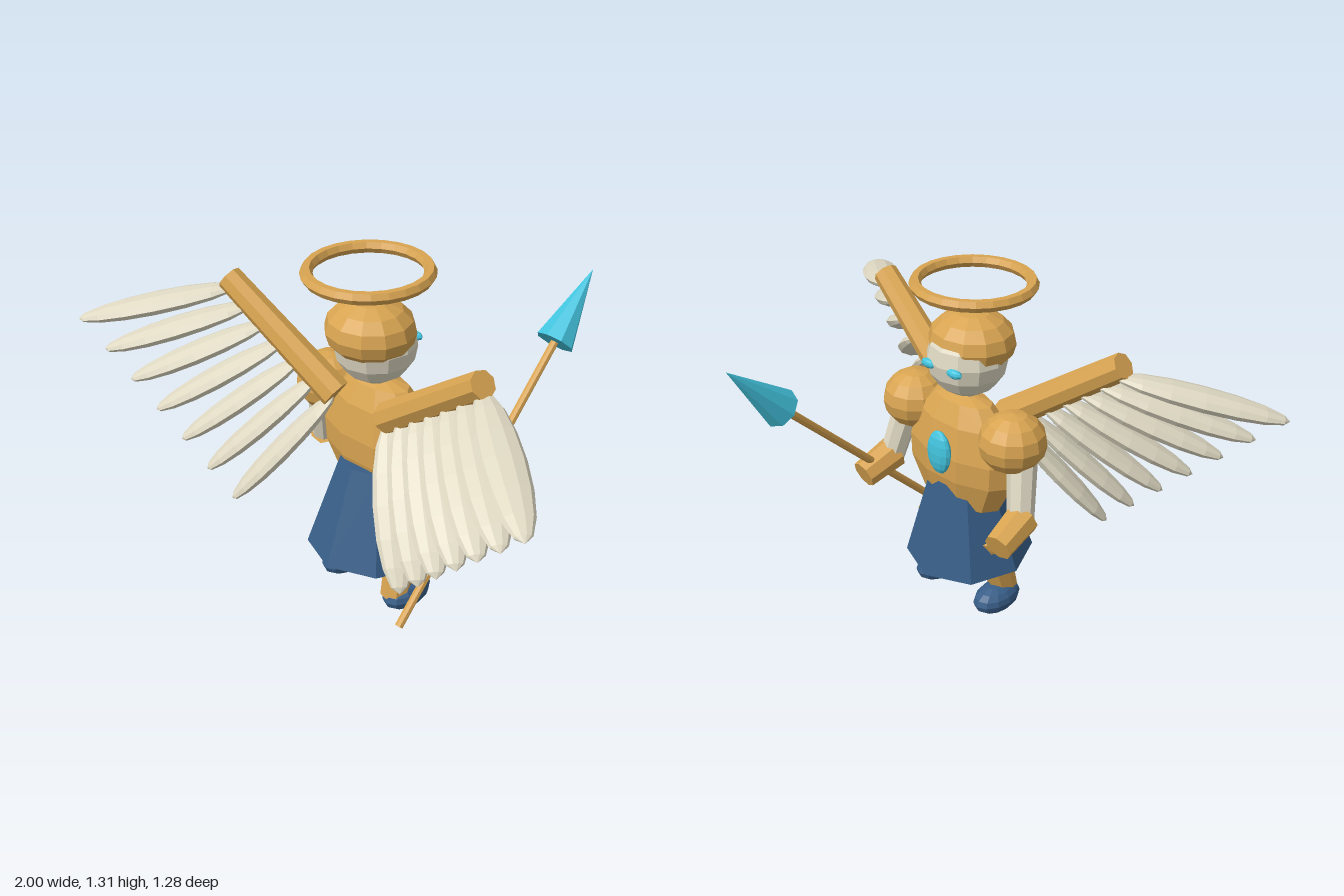
import * as THREE from 'three';

const V = (x, y, z) => new THREE.Vector3(x, y, z);

export function createModel() {
  const group = new THREE.Group();
  const mat = (name, color) => {
    const m = new THREE.MeshStandardMaterial({ color, flatShading: true });
    m.name = name;
    return m;
  };
  const gold = mat('gold', 0xd8a451);
  const cream = mat('cream', 0xdfd9c3);
  const navy = mat('navy', 0x385e88);
  const cyan = mat('cyan', 0x43c4de);

  const add = (name, geo, material) => {
    const mesh = new THREE.Mesh(geo, material);
    mesh.name = name;
    group.add(mesh);
    return mesh;
  };

  // Faceted ellipsoid
  const ball = (name, material, pos, radii, ws = 12, hs = 8) => {
    const mesh = add(name, new THREE.SphereGeometry(1, ws, hs), material);
    mesh.position.copy(pos);
    mesh.scale.copy(radii);
    return mesh;
  };

  // Tapered rod from point a (radius ra) to point b (radius rb)
  const rod = (name, material, a, b, ra, rb, sides = 8) => {
    const dir = b.clone().sub(a);
    const mesh = add(name, new THREE.CylinderGeometry(rb, ra, dir.length(), sides), material);
    mesh.position.copy(a).add(b).multiplyScalar(0.5);
    mesh.quaternion.setFromUnitVectors(V(0, 1, 0), dir.normalize());
    return mesh;
  };

  // Head, helmet and halo (the figure looks towards -z)
  ball('head', cream, V(0, 1.03, 0.146), V(0.147, 0.145, 0.145));
  ball('helmet', gold, V(0, 1.085, 0.169), V(0.162, 0.111, 0.152));
  const halo = add('halo', new THREE.TorusGeometry(0.202, 0.022, 6, 24), gold);
  halo.rotation.x = Math.PI / 2;
  halo.position.set(0, 1.294, 0.174);

  // Torso, flattened front to back
  const profile = [[0, 0.42], [0.1, 0.43], [0.18, 0.47], [0.24, 0.59], [0.245, 0.68],
    [0.2, 0.8], [0.13, 0.875], [0, 0.9]].map(([r, y]) => new THREE.Vector2(r, y));
  const torsoGeo = new THREE.LatheGeometry(profile, 10);
  torsoGeo.rotateY(Math.PI / 10);
  const torso = add('torso', torsoGeo, gold);
  torso.scale.z = 0.5;
  torso.position.z = 0.13;
  ball('chestGem', cyan, V(0, 0.695, 0.007), V(0.055, 0.086, 0.026));

  // Skirt, leaning slightly forward
  rod('skirt', navy, V(0, 0.212, 0.172), V(0, 0.567, 0.146), 0.241, 0.131, 8);

  for (const s of [1, -1]) {
    const side = s > 0 ? 'left' : 'right';
    const P = (x, y, z) => V(s * x, y, z);

    ball(side + 'Eye', cyan, P(0.061, 1.023, 0.017), V(0.035, 0.017, 0.017), 8, 6);

    // Arm
    ball(side + 'Shoulder', gold, P(0.24, 0.786, 0.127), V(0.122, 0.112, 0.125));
    rod(side + 'Arm', cream, P(0.28, 0.76, 0.135), P(0.33, 0.51, 0.08), 0.055, 0.048, 8);
    rod(side + 'Hand', gold, P(0.33, 0.529, 0.092), P(0.345, 0.478, -0.053), 0.063, 0.054, 8);

    // Leg and foot
    rod(side + 'Leg', gold, P(0.145, 0.06, 0.218), P(0.135, 0.355, 0.128), 0.052, 0.071, 8);
    ball(side + 'Foot', navy, P(0.155, 0.059, 0.163), V(0.068, 0.057, 0.108));

    // Wing: one bone and a fan of seven feathers, each broad in the horizontal direction
    rod(side + 'WingBone', gold, P(0.12, 0.81, 0.22), P(0.567, 1.137, 0.285), 0.057, 0.047, 8);
    for (let i = 0; i < 7; i++) {
      const t = i / 6;
      const root = P(0.55, 1.1, 0.265).lerp(P(0.13, 0.8, 0.22), t);
      const tip = P(0.997, 0.962, 0.635).lerp(P(0.41, 0.372, 0.482), t);
      const along = tip.clone().sub(root);
      const half = along.length() / 2;
      along.normalize();
      const wide = along.clone().cross(V(0, 1, 0)).normalize();
      const thin = wide.clone().cross(along);
      const feather = ball(side + 'Feather' + (i + 1), cream, root.clone().lerp(tip, 0.5),
        V(0.073, half, 0.035), 10, 8);
      feather.quaternion.setFromRotationMatrix(new THREE.Matrix4().makeBasis(wide, along, thin));
    }
  }

  // Spear held in the left hand
  rod('spearShaft', gold, V(0.33, 0.135, 0.4), V(0.33, 0.92, -0.435), 0.015, 0.015, 8);
  rod('spearHead', cyan, V(0.33, 0.913, -0.43), V(0.33, 1.124, -0.64), 0.072, 0, 8);

  return group;
}
